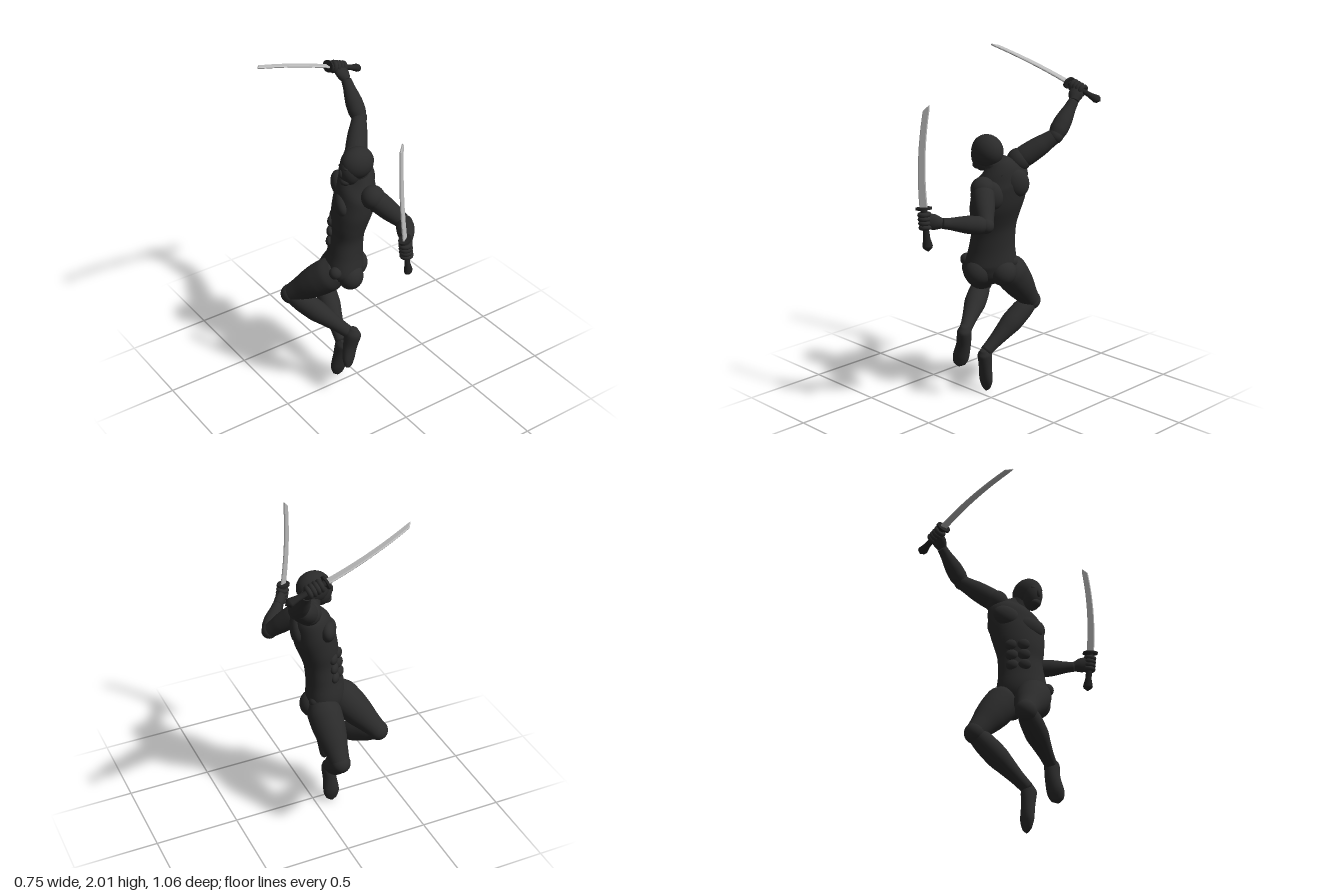
import * as THREE from 'three';

const V = (a) => new THREE.Vector3(...a);

// Smooth skin through stations [x, y, z, halfWidth, halfDepth]; width axis blends from side0 to side1
function loft(stations, side0, side1 = side0, skew = false, rings = 28, seg = 24) {
  const path = new THREE.CatmullRomCurve3(stations.map((s) => new THREE.Vector3(s[0], s[1], s[2])));
  const size = new THREE.CatmullRomCurve3(stations.map((s) => new THREE.Vector3(s[3], s[4], 0)));
  const pos = [], idx = [];
  for (let i = 0; i <= rings; i++) {
    const k = i / rings, c = path.getPoint(k), r = size.getPoint(k), t = path.getTangent(k);
    const u = V(side0).normalize().lerp(V(side1).normalize(), k).normalize();
    const v = t.clone().cross(u).normalize();
    if (!skew) u.crossVectors(v, t).normalize();
    for (let j = 0; j < seg; j++) {
      const a = (j / seg) * Math.PI * 2;
      const p = c.clone().addScaledVector(u, Math.max(r.x, 0.002) * Math.cos(a))
        .addScaledVector(v, Math.max(r.y, 0.002) * Math.sin(a));
      pos.push(p.x, p.y, p.z);
      if (i === rings) continue;
      const n = (j + 1) % seg, q = i * seg;
      idx.push(q + j, q + n, q + seg + n, q + j, q + seg + n, q + seg + j);
    }
  }
  const first = stations[0], last = stations[stations.length - 1], top = rings * seg;
  pos.push(first[0], first[1], first[2], last[0], last[1], last[2]);
  for (let j = 0; j < seg; j++) {
    const n = (j + 1) % seg;
    idx.push(top + seg, n, j, top + seg + 1, top + j, top + n);
  }
  const g = new THREE.BufferGeometry();
  g.setAttribute('position', new THREE.Float32BufferAttribute(pos, 3));
  g.setIndex(idx);
  g.computeVertexNormals();
  return g;
}

export function createModel() {
  const suit = new THREE.MeshStandardMaterial({ color: 0x2b2b2b });
  suit.name = 'charcoal suit';
  const steel = new THREE.MeshStandardMaterial({ color: 0xbcbcbc });
  steel.name = 'pale steel';
  const grip = new THREE.MeshStandardMaterial({ color: 0x232323 });
  grip.name = 'dark grip';

  const model = new THREE.Group();
  model.name = 'swordFighter';
  const add = (name, geo, mat = suit, parent = model) => {
    const m = new THREE.Mesh(geo, mat);
    m.name = name;
    parent.add(m);
    return m;
  };
  // Ellipsoid with its axes along side, up and forward
  const muscle = (name, p, r, side = [1, 0, 0], up = [0, 1, 0]) => {
    const m = add(name, new THREE.SphereGeometry(1, 28, 20));
    const X = V(side).normalize(), Z = X.clone().cross(V(up)).normalize(), Y = Z.clone().cross(X);
    m.quaternion.setFromRotationMatrix(new THREE.Matrix4().makeBasis(X, Y, Z));
    m.position.set(...p);
    m.scale.set(...r);
    return m;
  };
  // Straight limb with evenly spaced radii
  const limb = (name, a, b, radii) => {
    const st = radii.map((r, i) => [...V(a).lerp(V(b), i / (radii.length - 1)).toArray(), r, r]);
    add(name, loft(st, [0.6, 0.1, 0.75]));
  };

  // Torso, twisted from the hips to the tilted shoulders
  const hipSide = [-0.7, 0, 0.7], chestSide = [-0.4, -0.36, 0.84];
  add('torso', loft([
    [-0.05, 0.7, -0.04, 0.04, 0.05], [-0.05, 0.75, -0.045, 0.12, 0.095], [-0.055, 0.82, -0.05, 0.15, 0.112],
    [-0.045, 0.92, -0.05, 0.135, 0.1], [-0.03, 1.02, -0.05, 0.13, 0.095], [-0.015, 1.12, -0.05, 0.148, 0.11],
    [0.01, 1.22, -0.045, 0.165, 0.118], [0.03, 1.32, -0.042, 0.165, 0.11], [0.045, 1.39, -0.035, 0.125, 0.08],
    [0.035, 1.45, -0.012, 0.05, 0.05],
  ], hipSide, chestSide, true, 44, 36));
  for (const s of [1, -1]) {
    muscle('pectoral', [-0.055 - 0.03 * s, 1.265 - 0.03 * s, -0.085 + 0.06 * s], [0.08, 0.06, 0.045], chestSide);
    muscle('shoulderBlade', [0.095 - 0.03 * s, 1.29 - 0.03 * s, -0.01 + 0.07 * s], [0.07, 0.085, 0.045], chestSide);
    muscle('glute', [-0.02 - 0.05 * s, 0.775, -0.015 + 0.05 * s], [0.08, 0.08, 0.075], hipSide);
    for (let i = 0; i < 3; i++) {
      const y = 0.97 + i * 0.065;
      muscle('abdominal', [-0.1 + i * 0.006 - 0.025 * s, y, -0.118 + 0.025 * s], [0.036, 0.032, 0.022], hipSide);
    }
  }

  // Neck and masked head, facing -x
  limb('neck', [0.045, 1.36, -0.025], [-0.01, 1.5, 0.012], [0.075, 0.062, 0.055, 0.052]);
  muscle('cranium', [-0.012, 1.497, 0.017], [0.1, 0.092, 0.079]);
  muscle('face', [-0.062, 1.46, 0.015], [0.058, 0.085, 0.058], [1, 0.15, 0]);
  muscle('chin', [-0.09, 1.405, 0.015], [0.03, 0.025, 0.032]);
  muscle('nose', [-0.117, 1.46, 0.015], [0.014, 0.025, 0.013]);
  muscle('brow', [-0.1, 1.495, 0.015], [0.016, 0.012, 0.042]);

  // Legs: hip, knee, ankle
  const legs = [
    { n: 'left', hip: [-0.12, 0.81, -0.015], knee: [-0.31, 0.59, -0.235], ankle: [-0.115, 0.42, 0.1], ball: [-0.17, 0.83, 0.03] },
    { n: 'right', hip: [0.0, 0.81, -0.11], knee: [-0.015, 0.525, -0.35], ankle: [-0.085, 0.26, -0.04], ball: [0.04, 0.83, -0.125] },
  ];
  for (const l of legs) {
    limb(l.n + 'Thigh', l.hip, l.knee, [0.075, 0.1, 0.097, 0.086, 0.069, 0.056]);
    muscle(l.n + 'Knee', l.knee, [0.059, 0.059, 0.059]);
    limb(l.n + 'Shin', l.knee, l.ankle, [0.05, 0.062, 0.064, 0.053, 0.041, 0.035]);
    muscle(l.n + 'HipJoint', l.ball, [0.037, 0.037, 0.037]);
  }
  // Feet, heel to pointed toe
  add('leftFoot', loft([
    [-0.1, 0.46, 0.115, 0.02, 0.022], [-0.108, 0.42, 0.112, 0.042, 0.05], [-0.122, 0.34, 0.105, 0.043, 0.042],
    [-0.138, 0.26, 0.112, 0.049, 0.033], [-0.145, 0.215, 0.12, 0.036, 0.02], [-0.147, 0.197, 0.122, 0.008, 0.006],
  ], [0.85, 0, -0.5]));
  add('rightFoot', loft([
    [-0.08, 0.28, -0.02, 0.02, 0.022], [-0.085, 0.245, -0.032, 0.04, 0.045], [-0.093, 0.16, -0.045, 0.042, 0.037],
    [-0.098, 0.08, -0.055, 0.049, 0.032], [-0.1, 0.025, -0.058, 0.034, 0.018], [-0.1, 0.004, -0.06, 0.008, 0.006],
  ], [1, 0, 0.1]));

  // Sword in its own frame: +y along the handle axis, +x where the blade curves, guard at the origin
  function sword(name, guard, axis, bend) {
    const g = new THREE.Group();
    g.name = name;
    const Y = V(axis).normalize(), Z = V(bend).cross(Y).normalize(), X = Y.clone().cross(Z);
    g.quaternion.setFromRotationMatrix(new THREE.Matrix4().makeBasis(X, Y, Z));
    g.position.set(...guard);
    model.add(g);
    const curve = (t) => 0.078 * t * t;
    const outline = [], n = 14;
    for (let i = 0; i <= n; i++) outline.push(new THREE.Vector2(curve(i / n * 0.95) - 0.019 + 0.005 * i / n, 0.525 * i / n));
    outline.push(new THREE.Vector2(curve(1) + 0.012, 0.552));
    for (let i = n; i >= 0; i--) outline.push(new THREE.Vector2(curve(i / n * 0.95) + 0.019 - 0.005 * i / n, 0.525 * i / n));
    const blade = new THREE.ExtrudeGeometry(new THREE.Shape(outline),
      { depth: 0.003, bevelThickness: 0.004, bevelSize: 0.004, bevelSegments: 1 });
    add('blade', blade.translate(0, 0, -0.0015), steel, g);
    const disc = add('guard', new THREE.CylinderGeometry(0.046, 0.046, 0.012, 24), grip, g);
    disc.scale.z = 0.72;
    const profile = [[0, -0.24], [0.026, -0.22], [0.03, -0.208], [0.02, -0.165], [0.017, -0.1], [0.02, 0]];
    const handle = add('handle', new THREE.LatheGeometry(profile.map((p) => new THREE.Vector2(...p)), 16), grip, g);
    handle.scale.z = 0.75;
    // Four fingers closed round the handle
    for (let i = 0; i < 4; i++) {
      const f = add('finger', new THREE.TorusGeometry(0.025, 0.0135, 10, 20), suit, g);
      f.rotation.x = Math.PI / 2;
      f.position.y = -0.034 - i * 0.023;
    }
  }
  sword('raisedSword', [0.145, 1.835, -0.485], [-0.948, 0.317, 0.02], [0, 0, 1]);
  sword('loweredSword', [-0.03, 1.25, 0.486], [-0.13, 0.99, 0], [0.87, 0, -0.49]);

  // Arms: shoulder, elbow, wrist, and the grip point on the handle
  const arms = [
    { n: 'raised', sh: [0.085, 1.435, -0.135], el: [0.22, 1.57, -0.29], wr: [0.228, 1.75, -0.43], hand: [0.213, 1.812, -0.482], ax: [-0.948, 0.317, 0.02] },
    { n: 'lowered', sh: [0.035, 1.3, 0.1], el: [0.175, 1.14, 0.215], wr: [0.04, 1.165, 0.415], hand: [-0.018, 1.182, 0.478], ax: [-0.13, 0.99, 0] },
  ];
  for (const a of arms) {
    muscle(a.n + 'Deltoid', a.sh, [0.07, 0.068, 0.068]);
    limb(a.n + 'UpperArm', a.sh, a.el, [0.058, 0.062, 0.06, 0.056, 0.048, 0.042]);
    muscle(a.n + 'Elbow', a.el, [0.045, 0.045, 0.045]);
    limb(a.n + 'Forearm', a.el, a.wr, [0.042, 0.051, 0.05, 0.043, 0.034, 0.029]);
    const mid = V(a.wr).lerp(V(a.hand), 0.55).toArray();
    add(a.n + 'Palm', loft([[...a.wr, 0.028, 0.027], [...mid, 0.044, 0.03], [...a.hand, 0.042, 0.026]], a.ax));
    const tip = V(a.hand).addScaledVector(V(a.ax), 0.035).toArray();
    limb(a.n + 'Thumb', mid, tip, [0.016, 0.021, 0.019, 0.014]);
  }
  return model;
}
